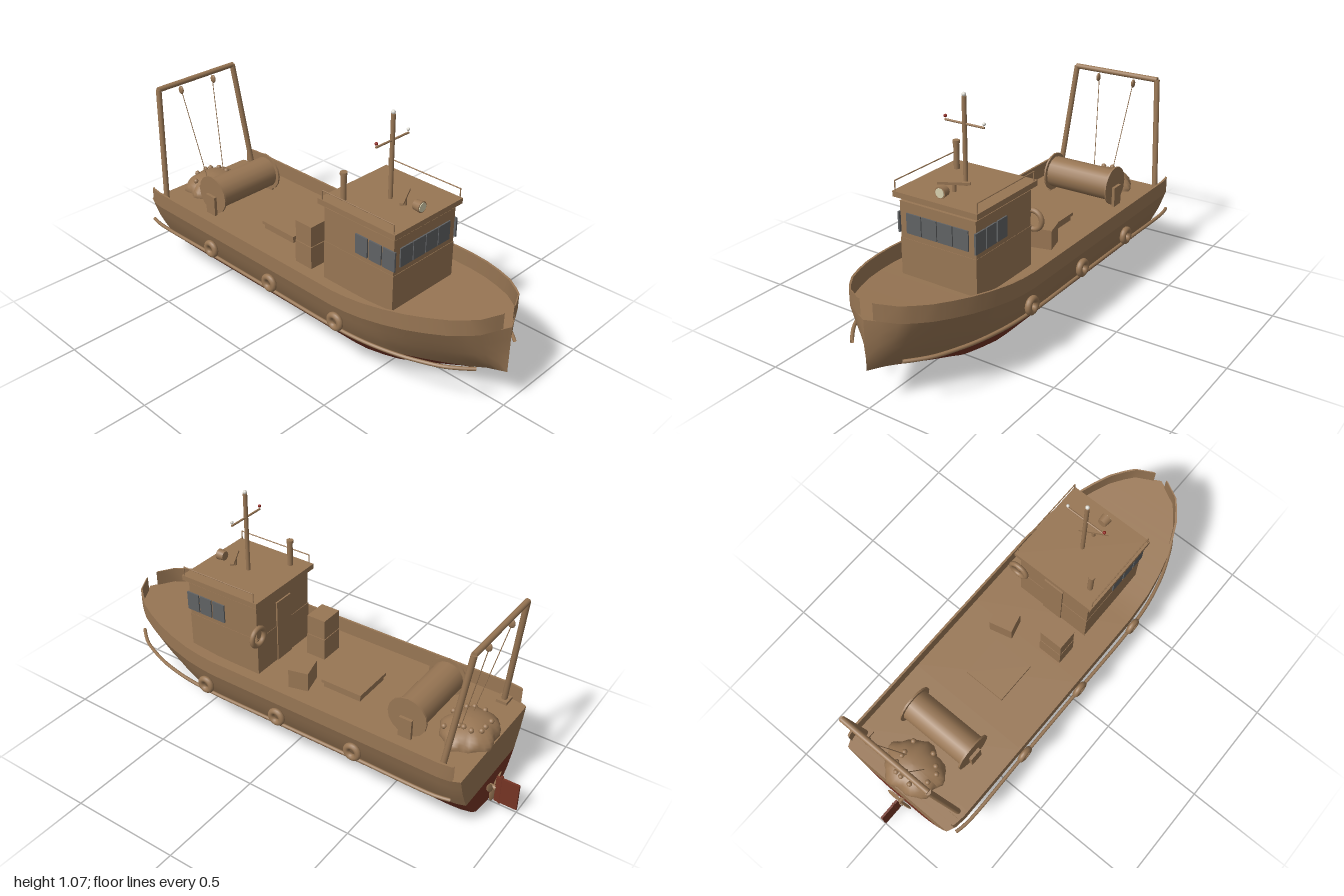
import * as THREE from 'three';
import { toCreasedNormals } from 'three/addons/utils/BufferGeometryUtils.js';

const paint = (name, color, side = THREE.FrontSide) => {
  const m = new THREE.MeshStandardMaterial({ color, side });
  m.name = name;
  return m;
};
const V = (x, y, z) => new THREE.Vector3(x, y, z);

// linear interpolation through [key, value] pairs
function lerpTable(table, k) {
  for (let i = 1; i < table.length; i++) {
    const [a, va] = table[i - 1], [b, vb] = table[i];
    if (k <= b) return va + (vb - va) * Math.max(0, (k - a) / (b - a));
  }
  return table[table.length - 1][1];
}

// hull lines
const WATER = 0.132, STERN = -0.87;
const BEAM = [[STERN, 0.285], [-0.83, 0.303], [-0.78, 0.31], [0.35, 0.31], [0.5, 0.3], [0.6, 0.283],
  [0.69, 0.26], [0.77, 0.23], [0.845, 0.195], [0.9, 0.155], [0.94, 0.12], [1, 0]];
const SECTION = [[0, 0], [0.06, 0.39], [0.18, 0.56], [0.43, 0.75], [0.7, 0.89], [1, 1]];
const KEEL = [[0.4, 0], [0.56, 0.015], [1, 0.165]];
const STATIONS = [STERN, -0.83, -0.78, -0.4, 0, 0.35, 0.42, 0.5, 0.56, 0.6, 0.65, 0.69, 0.73, 0.77, 0.81,
  0.845, 0.875, 0.903, 0.94, 0.97, 1];
const beam = z => lerpTable(BEAM, z);
const keel = z => lerpTable(KEEL, z);
const deckY = z => 0.31 + 0.07 * Math.pow(Math.max(0, (z - 0.4) / 0.6), 1.15);
function hullX(z, y) {
  const t = THREE.MathUtils.clamp((y - keel(z)) / (deckY(z) - keel(z)), 0, 1);
  const b = THREE.MathUtils.clamp((z - 0.45) / 0.55, 0, 1);
  return beam(z) * THREE.MathUtils.lerp(lerpTable(SECTION, t), Math.pow(t, 0.75), b);
}

// surface through a grid of points, fn(u, v)
function loft(us, vs, fn, flip = false) {
  const pos = [], idx = [], n = vs.length;
  us.forEach(u => vs.forEach(v => pos.push(...fn(u, v))));
  for (let i = 0; i < us.length - 1; i++) for (let j = 0; j < n - 1; j++) {
    const a = i * n + j, b = a + n, c = a + 1, d = b + 1;
    idx.push(...(flip ? [a, c, b, b, c, d] : [a, b, c, b, d, c]));
  }
  const g = new THREE.BufferGeometry();
  g.setAttribute('position', new THREE.Float32BufferAttribute(pos, 3));
  g.setIndex(idx);
  g.computeVertexNormals();
  return g;
}

export function createModel() {
  const brown = paint('brown', 0x987654, THREE.DoubleSide);
  const red = paint('bottom red', 0x753424, THREE.DoubleSide);
  const glass = paint('window grey', 0x606264);
  const lens = paint('lens cream', 0xd6cfae);
  const white = paint('lamp white', 0xdedcd4);
  const lampRed = paint('lamp red', 0x8a1c14);
  const root = new THREE.Group();
  root.name = 'fishingBoat';

  const add = (name, geo, mat, x = 0, y = 0, z = 0) => {
    const m = new THREE.Mesh(geo, mat);
    m.name = name;
    m.position.set(x, y, z);
    root.add(m);
    return m;
  };
  const box = (name, w, h, d, x, y, z, mat = brown) => add(name, new THREE.BoxGeometry(w, h, d), mat, x, y, z);
  const ball = (name, r, mat, x, y, z) => add(name, new THREE.SphereGeometry(r, 14, 10), mat, x, y, z);
  const rod = (name, a, b, r, mat = brown, r2 = r) => {
    const dir = b.clone().sub(a), mid = a.clone().add(b).multiplyScalar(0.5);
    const m = add(name, new THREE.CylinderGeometry(r2, r, dir.length(), 16), mat, mid.x, mid.y, mid.z);
    m.quaternion.setFromUnitVectors(V(0, 1, 0), dir.normalize());
    return m;
  };

  // hull: red bottom and brown topsides, each side separate for a crisp stem
  const lowRows = [0, 0.07, 0.14, 0.28, 0.42, 0.7, 1], highRows = [0, 0.25, 0.5, 0.75, 1];
  const lowY = (z, r) => { const k = keel(z); return k + (Math.max(k, WATER) - k) * r; };
  const highY = (z, r) => { const k = Math.max(keel(z), WATER); return k + (deckY(z) - k) * r; };
  for (const s of [1, -1]) {
    const skin = yAt => (z, r) => [s * hullX(z, yAt(z, r)), yAt(z, r), z];
    add('hullBottom', loft(STATIONS, lowRows, skin(lowY), s > 0), red);
    add('hullTopside', loft(STATIONS, highRows, skin(highY), s > 0), brown);
  }
  const transom = yAt => (r, s) => [s * hullX(STERN, yAt(STERN, r)), yAt(STERN, r), STERN];
  add('transomBottom', loft(lowRows, [-1, 1], transom(lowY)), red);
  add('transomTop', loft(highRows, [-1, 1], transom(highY)), brown);
  add('deck', loft(STATIONS, [-1, 1], (z, s) => [s * beam(z), deckY(z), z]), brown);

  for (const s of [1, -1]) {
    // bulwark, open at the stem and the stern
    const zs = [-0.84, ...STATIONS.filter(z => z > -0.84 && z < 0.98), 0.98];
    const ring = [[0, 0], [0, 0.072], [0.01, 0.072], [0.01, 0], [0, 0]];
    const wall = loft(zs, [0, 1, 2, 3, 4],
      (z, j) => [s * (beam(z) - ring[j][0]), deckY(z) + ring[j][1], z], s > 0);
    add('bulwark', toCreasedNormals(wall, 0.6), brown);

    // rubbing rail
    const path = new THREE.CatmullRomCurve3([-0.84, -0.78, -0.4, 0, 0.35, 0.5, 0.6, 0.69, 0.77, 0.845, 0.9, 0.94]
      .map(z => V(s * (beam(z) + 0.004), 0.217, z)));
    add('rubRail', new THREE.TubeGeometry(path, 60, 0.008, 8), brown);

    // tyre fenders
    for (const z of [0.38, -0.01, -0.395])
      add('fender', new THREE.TorusGeometry(0.028, 0.014, 12, 24), brown, s * 0.319, 0.25, z).rotation.y = Math.PI / 2;

    // stern gantry leg with foot, block and line
    rod('gantryLeg', V(s * 0.268, 0.31, -0.775), V(s * 0.218, 0.857, -0.838), 0.013);
    box('gantryFoot', 0.055, 0.014, 0.05, s * 0.268, 0.317, -0.775);
    add('gantryBlock', new THREE.SphereGeometry(0.02, 14, 10), brown, s * 0.095, 0.82, -0.835).scale.set(0.4, 1, 0.8);
    rod('haulLine', V(s * 0.091, 0.805, -0.835), V(s * 0.05, 0.38, -0.74), 0.0018);

    // roof guard rail
    const rx = s * 0.199;
    rod('roofRail', V(rx, 0.729, 0.57), V(rx, 0.729, 0.19), 0.0025);
    for (const z of [0.57, 0.19]) rod('roofRailPost', V(rx, 0.685, z), V(rx, 0.73, z), 0.0025);

    // side windows
    for (const z of [0.54, 0.469, 0.396]) box('sideWindow', 0.008, 0.088, 0.064, s * 0.187, 0.556, z, glass);

    // winch flange, bracket and hub
    rod('winchFlange', V(s * 0.161, 0.405, -0.555), V(s * 0.169, 0.405, -0.555), 0.091);
    box('winchBracket', 0.014, 0.095, 0.06, s * 0.177, 0.357, -0.555);
  }
  rod('gantryBeam', V(-0.22, 0.857, -0.838), V(0.22, 0.857, -0.838), 0.0125);
  rod('winchDrum', V(-0.161, 0.405, -0.555), V(0.161, 0.405, -0.555), 0.074);

  // wheelhouse
  box('houseLower', 0.372, 0.18, 0.378, 0, 0.398, 0.375);
  box('houseUpper', 0.369, 0.158, 0.374, 0, 0.567, 0.375);
  box('houseRoof', 0.41, 0.024, 0.41, 0, 0.676, 0.375);
  for (let i = 0; i < 4; i++) box('frontWindow', 0.072, 0.086, 0.008, (i - 1.5) * 0.0765, 0.558, 0.564, glass);
  box('door', 0.1, 0.3, 0.009, 0, 0.46, 0.185);
  add('lifeRing', new THREE.TorusGeometry(0.041, 0.0115, 12, 28), brown, 0.19, 0.513, 0.178);

  // mast with lamps
  rod('mast', V(0, 0.685, 0.375), V(0, 1.056, 0.375), 0.0095);
  rod('mastCrossbar', V(-0.095, 0.945, 0.375), V(0.095, 0.945, 0.375), 0.0045);
  ball('mastLamp', 0.009, white, 0, 1.063, 0.375);
  ball('rightLamp', 0.007, lampRed, -0.093, 0.96, 0.375);
  ball('leftLamp', 0.007, white, 0.093, 0.96, 0.375);

  // radar, searchlight and exhaust
  rod('radarPost', V(0, 0.685, 0.45), V(0, 0.718, 0.45), 0.009);
  box('radarBar', 0.13, 0.011, 0.016, 0, 0.723, 0.45).rotation.y = 0.5;
  rod('searchlight', V(0, 0.712, 0.505), V(0, 0.712, 0.54), 0.021, brown, 0.025);
  rod('searchlightLens', V(0, 0.712, 0.539), V(0, 0.712, 0.543), 0.02, lens);
  rod('exhaust', V(-0.14, 0.652, 0.25), V(-0.14, 0.805, 0.25), 0.0125);
  rod('exhaustCap', V(-0.14, 0.8, 0.25), V(-0.14, 0.812, 0.25), 0.0155);

  // deck cargo
  box('crateLower', 0.115, 0.105, 0.095, -0.125, 0.3625, 0.06);
  box('crateUpper', 0.112, 0.095, 0.092, -0.125, 0.4645, 0.06);
  box('looseCrate', 0.11, 0.09, 0.09, 0.12, 0.355, -0.005).rotation.y = 0.25;
  box('hatchCoaming', 0.185, 0.025, 0.185, 0, 0.3225, -0.19);
  box('hatchLid', 0.2, 0.014, 0.2, 0, 0.341, -0.19);

  // net heap with floats
  const heap = new THREE.SphereGeometry(1, 36, 18), p = heap.attributes.position;
  for (let i = 0; i < p.count; i++) {
    const a = Math.atan2(p.getZ(i), p.getX(i)), y = p.getY(i);
    const k = 1 + (0.06 * Math.sin(5 * a + 1) + 0.05 * Math.sin(9 * a + 4 * y)) * (1 - y * y);
    p.setXYZ(i, p.getX(i) * k * 0.14, y * 0.075, p.getZ(i) * k * 0.118);
  }
  heap.computeVertexNormals();
  add('netHeap', heap, brown, 0, 0.312, -0.755);
  for (let i = 0; i < 11; i++) {
    const a = i * 2.4, r = 0.45 + 0.45 * ((i * 7) % 11) / 11;
    ball('netFloat', 0.012, brown, 0.14 * r * Math.cos(a), 0.314 + 0.075 * Math.sqrt(1 - r * r), -0.755 + 0.12 * r * Math.sin(a));
  }

  // propeller and rudder
  rod('propellerShaft', V(0, 0.08, -0.86), V(0, 0.08, -0.9), 0.011);
  for (let i = 0; i < 3; i++) {
    const a = Math.PI / 6 + i * Math.PI * 2 / 3;
    const blade = add('propellerBlade', new THREE.SphereGeometry(1, 14, 8), brown,
      0.04 * Math.cos(a), 0.08 + 0.04 * Math.sin(a), -0.886);
    blade.scale.set(0.037, 0.016, 0.004);
    blade.rotation.set(0, 0, a);
    blade.rotateX(0.5);
  }
  box('rudder', 0.01, 0.13, 0.103, 0, 0.08, -0.9485, red);
  rod('rudderPost', V(0, 0.01, -0.92), V(0, 0.155, -0.92), 0.006, red);
  return root;
}
